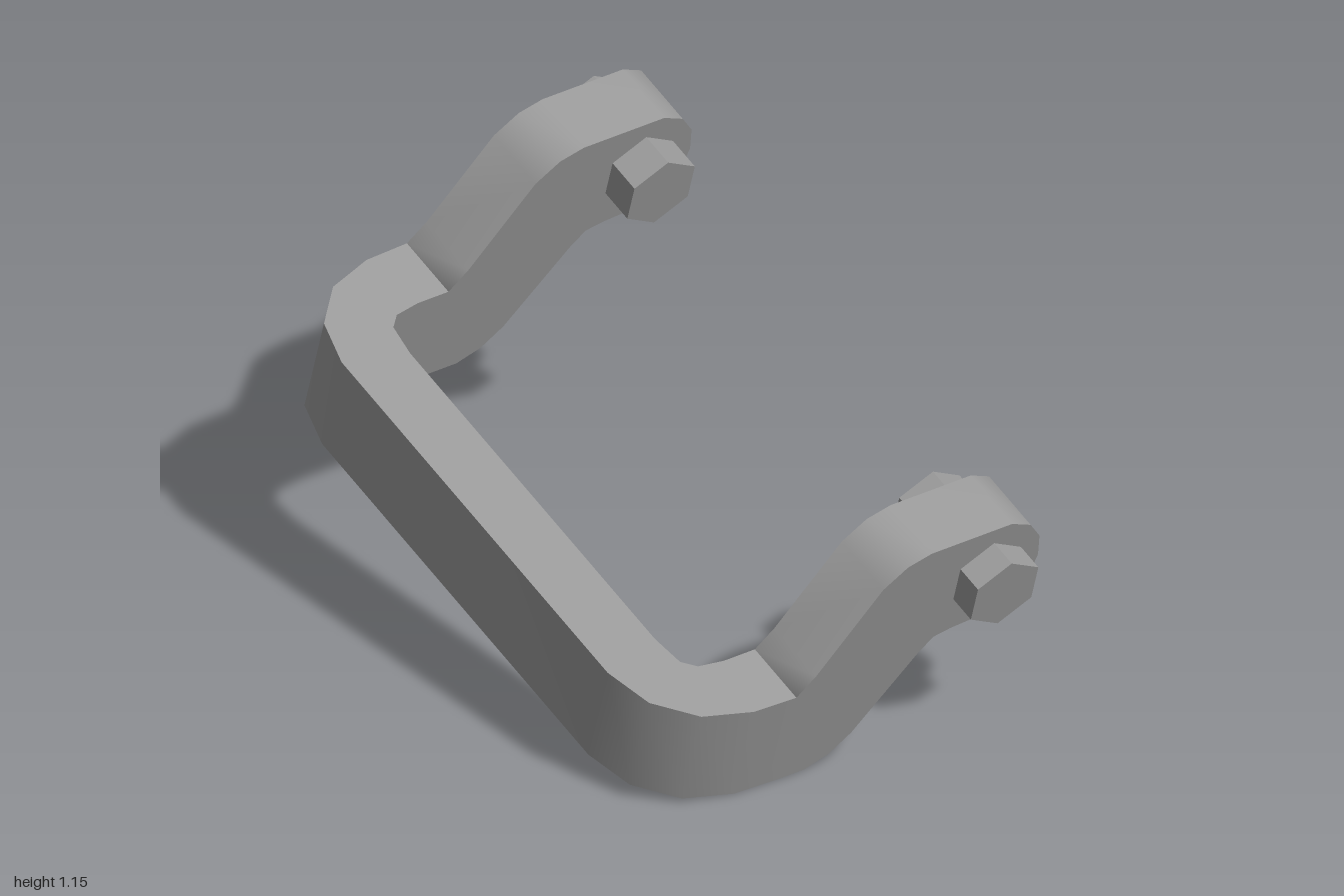
import * as THREE from 'three';
import { toCreasedNormals } from 'three/addons/utils/BufferGeometryUtils.js';

const HALF = 0.89;      // half length across both arm plates
const THICK = 0.19;     // plate thickness
const BASE = 0.206;     // underside of the crossbar
const BAR_TOP = 0.504;
const JOIN = -0.17;     // where the arms meet the rounded corners

const extrude = (points, depth) => new THREE.ExtrudeGeometry(
  new THREE.Shape(points.map(([x, y]) => new THREE.Vector2(x, y))),
  { depth, bevelEnabled: false }
);

export function createModel() {
  const steel = new THREE.MeshStandardMaterial({ color: 0x9a9a9a });
  steel.name = 'steel grey';

  const add = (parent, name, geometry, crease) => {
    const mesh = new THREE.Mesh(toCreasedNormals(geometry, crease), steel);
    mesh.name = name;
    parent.add(mesh);
    return mesh;
  };
  const mirror = (pts) => pts.map(([u, s]) => [u, -s]).reverse();

  const bracket = new THREE.Group();
  bracket.name = 'bracket';
  bracket.position.z = 0;

  // Crossbar with its two rounded corners, as a U seen from above
  const outer = [
    [JOIN, HALF], [-0.3, 0.885], [-0.434, 0.842], [-0.53, 0.743], [-0.567, 0.608],
  ];
  const inner = [
    [JOIN, HALF - THICK], [-0.266, 0.7], [-0.34, 0.688], [-0.373, 0.655], [-0.386, 0.56],
  ];
  const uOutline = [...outer, ...mirror(outer), ...inner.map(([u, s]) => [u, -s]), ...[...inner].reverse()];
  const bar = extrude(uOutline, BAR_TOP - BASE);
  bar.rotateX(-Math.PI / 2);
  bar.translate(0, BASE, -0.2);
  add(bracket, 'crossbar', bar, 0.75);

  // S-shaped arm plate ending in a rounded eye
  const armOutline = [
    [JOIN, BASE], [-0.085, BASE], [-0.015, 0.232], [0.046, 0.284],
    [0.21, 0.503], [0.25, 0.545], [0.301, 0.555], [0.382, 0.561],
    [0.468, 0.582], [0.524, 0.644], [0.541, 0.72], [0.531, 0.792],
    [0.492, 0.848], [0.428, 0.879], [0.177, 0.879], [0.107, 0.859],
    [0.04, 0.806], [-0.12, 0.56], [JOIN, BAR_TOP],
  ];

  // Each arm: plate front position, and the ends of the hexagonal bolt
  const arms = [
    { name: 'front', z: 0.5, boltFront: 0.77, boltBack: 0.41 },
    { name: 'back', z: -1.09, boltFront: -0.8, boltBack: -1.14 },
  ];
  for (const { name, z, boltFront, boltBack } of arms) {
    const plate = add(bracket, name + 'Arm', extrude(armOutline, THICK), 0.9);
    plate.position.z = z;

    // Hexagonal head and nut on either face of the plate
    for (const [part, from, to] of [
      ['BoltHead', z + THICK, boltFront],
      ['BoltNut', boltBack, z],
    ]) {
      const hex = new THREE.CylinderGeometry(0.109, 0.109, to - from, 6);
      hex.rotateX(Math.PI / 2);
      add(bracket, name + part, hex, 0.3).position.set(0.382, 0.72, (from + to) / 2);
    }
  }

  // The whole bracket rests tilted on its front lower edge
  bracket.rotation.set(0.29, -0.062, 0, 'YXZ');

  const model = new THREE.Group();
  model.name = 'tiltedBracket';
  model.add(bracket);
  return model;
}
